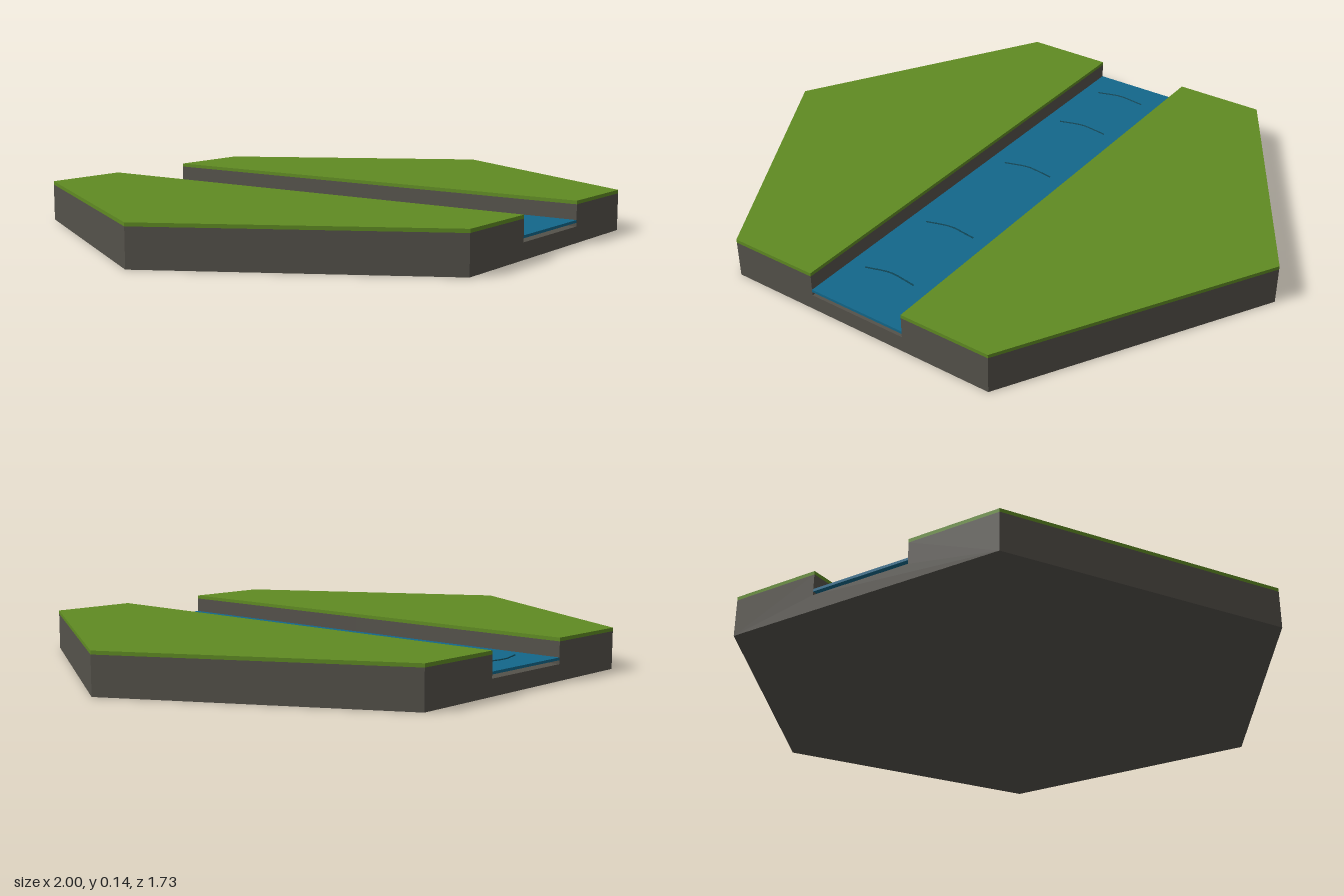
import * as THREE from 'three';

const HALF_DEPTH = Math.sqrt(3) / 2;
const CHANNEL = 0.18; // half width of the river channel
const BED = 0.055, SOIL_TOP = 0.128, GRASS_TOP = 0.14;

const material = (color) => new THREE.MeshStandardMaterial({ color });

function addMesh(parent, name, geometry, mat) {
  const mesh = new THREE.Mesh(geometry, mat);
  mesh.name = name;
  parent.add(mesh);
  return mesh;
}

// Sweeps an x/y section along z, then pulls its outer edges (x = ±1) in to a hexagon.
function hexSweep(points) {
  const shape = new THREE.Shape(points.map(([x, y]) => new THREE.Vector2(x, y)));
  const geometry = new THREE.ExtrudeGeometry(shape, { depth: 2 * HALF_DEPTH, steps: 2, bevelEnabled: false });
  geometry.translate(0, 0, -HALF_DEPTH);
  const pos = geometry.attributes.position;
  for (let i = 0; i < pos.count; i++) {
    const x = pos.getX(i);
    if (Math.abs(x) > 0.99) pos.setX(i, Math.sign(x) * (1 - Math.abs(pos.getZ(i)) / Math.sqrt(3)));
  }
  geometry.computeVertexNormals();
  return geometry;
}

export function createModel() {
  const model = new THREE.Group();
  model.name = 'riverTile';

  const soil = material(0x54514a);
  const grass = material(0x5f8a22);
  const water = material(0x13678a);
  const ripple = material(0x0d4657);

  // Soil block with the channel cut through it
  addMesh(model, 'soilBase', hexSweep([
    [-1, 0], [1, 0], [1, SOIL_TOP], [CHANNEL, SOIL_TOP],
    [CHANNEL, BED], [-CHANNEL, BED], [-CHANNEL, SOIL_TOP], [-1, SOIL_TOP],
  ]), soil);

  // Thin turf on each bank
  for (const [name, side] of [['leftGrass', 1], ['rightGrass', -1]]) {
    addMesh(model, name, hexSweep([
      [side, SOIL_TOP], [side, GRASS_TOP], [side * CHANNEL, GRASS_TOP], [side * CHANNEL, SOIL_TOP],
    ]), grass);
  }

  // Thin sheet of water, just above the bed
  const sheet = addMesh(model, 'water', new THREE.BoxGeometry(2 * CHANNEL, 0.009, 2 * HALF_DEPTH), water);
  sheet.position.y = 0.072;

  // Curved ripple lines on the water
  const curve = new THREE.CatmullRomCurve3([
    new THREE.Vector3(-0.12, 0, 0.02),
    new THREE.Vector3(-0.035, 0, -0.003),
    new THREE.Vector3(0.025, 0, 0.002),
    new THREE.Vector3(0.07, 0, 0.008),
  ]);
  const rippleGeometry = new THREE.TubeGeometry(curve, 12, 0.003, 5, false);
  [-0.757, -0.48, -0.115, 0.345, 0.66].forEach((z, i) => {
    addMesh(model, `ripple${i + 1}`, rippleGeometry, ripple).position.set(0, 0.077, z);
  });

  return model;
}
